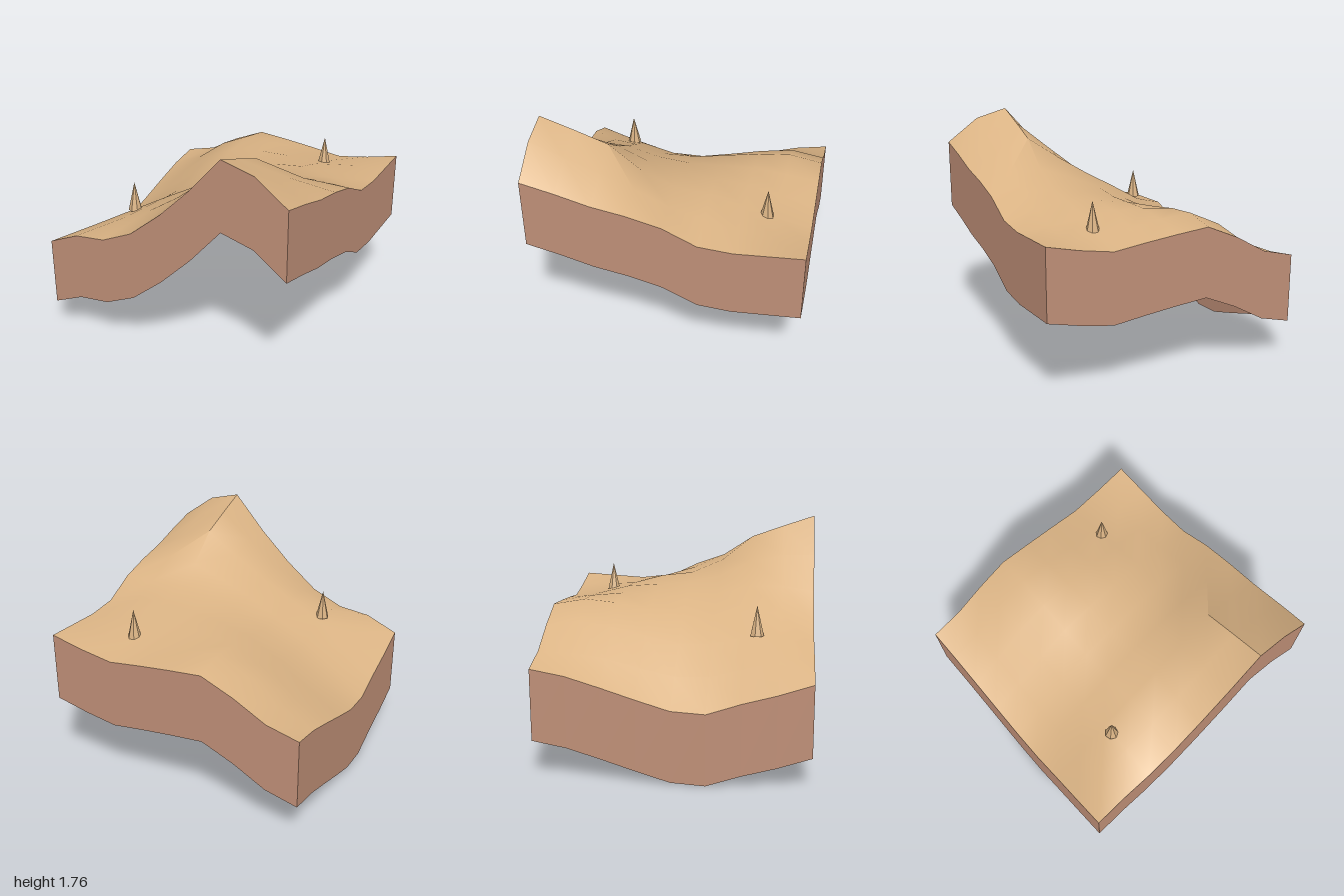
import * as THREE from 'three';
import { toCreasedNormals } from 'three/addons/utils/BufferGeometryUtils.js';

// Ground heights: rows run back (z = -1) to front (z = 1), columns x = -1 to 1
const HEIGHTS = [
  [0.825, 0.89, 1.03, 1.14, 1.12, 1.095, 1.065, 1.11, 1.17],
  [0.78, 0.885, 1.07, 1.185, 1.165, 1.135, 1.115, 1.125, 1.155],
  [0.705, 0.85, 1.03, 1.16, 1.19, 1.2, 1.18, 1.15, 1.14],
  [0.625, 0.785, 0.97, 1.115, 1.18, 1.22, 1.25, 1.21, 1.16],
  [0.55, 0.73, 0.915, 1.07, 1.17, 1.235, 1.28, 1.285, 1.28],
  [0.535, 0.735, 0.915, 1.065, 1.195, 1.3, 1.39, 1.4, 1.345],
  [0.62, 0.8, 0.98, 1.125, 1.265, 1.42, 1.59, 1.5, 1.39],
  [0.69, 0.875, 0.985, 1.11, 1.275, 1.475, 1.68, 1.6, 1.46],
  [0.775, 0.885, 0.915, 1.03, 1.235, 1.48, 1.765, 1.7, 1.52],
];
const N = 8;
const SKIRT_DEPTH = 0.533;

function makeMaterial(name, color) {
  const material = new THREE.MeshStandardMaterial({ color, side: THREE.DoubleSide });
  material.name = name;
  return material;
}

function addMesh(group, name, geometry, material) {
  const mesh = new THREE.Mesh(geometry, material);
  mesh.name = name;
  group.add(mesh);
  return mesh;
}

// Smooth height field with a sharp crease along the front ridge
function groundGeometry() {
  const geometry = new THREE.PlaneGeometry(2, 2, N, N).rotateX(-Math.PI / 2);
  const position = geometry.attributes.position;
  for (let i = 0; i < position.count; i++) {
    position.setY(i, HEIGHTS[Math.floor(i / (N + 1))][i % (N + 1)]);
  }
  return toCreasedNormals(geometry, Math.PI / 4);
}

// Wall hanging from one ground edge; at(i) gives the [column, row] along it
function skirtGeometry(at) {
  const geometry = new THREE.PlaneGeometry(2, 1, N, 1);
  const position = geometry.attributes.position;
  for (let i = 0; i < position.count; i++) {
    const [column, row] = at(i % (N + 1));
    const drop = i > N ? SKIRT_DEPTH : 0;
    position.setXYZ(i, column / 4 - 1, HEIGHTS[row][column] - drop, row / 4 - 1);
  }
  geometry.computeVertexNormals();
  return geometry;
}

export function createModel() {
  const model = new THREE.Group();
  model.name = 'terrainTile';
  const sand = makeMaterial('sand', 0xdab384);
  const earth = makeMaterial('earth', 0xbf8f77);

  addMesh(model, 'ground', groundGeometry(), sand);

  // Earth walls around the tile, open underneath
  const edges = {
    frontSkirt: (i) => [i, N],
    rightSkirt: (i) => [N, N - i],
    backSkirt: (i) => [N - i, 0],
    leftSkirt: (i) => [0, i],
  };
  for (const [name, at] of Object.entries(edges)) {
    addMesh(model, name, skirtGeometry(at), earth);
  }

  // Small faceted spikes standing on the ground
  const height = 0.225;
  for (const [x, base, z] of [[-0.5, 0.99, 0.58], [0.5, 1.12, -0.67]]) {
    const cone = new THREE.ConeGeometry(0.052, height, 7).toNonIndexed();
    cone.computeVertexNormals();
    addMesh(model, 'spike', cone, sand).position.set(x, base + height / 2, z);
  }
  return model;
}
